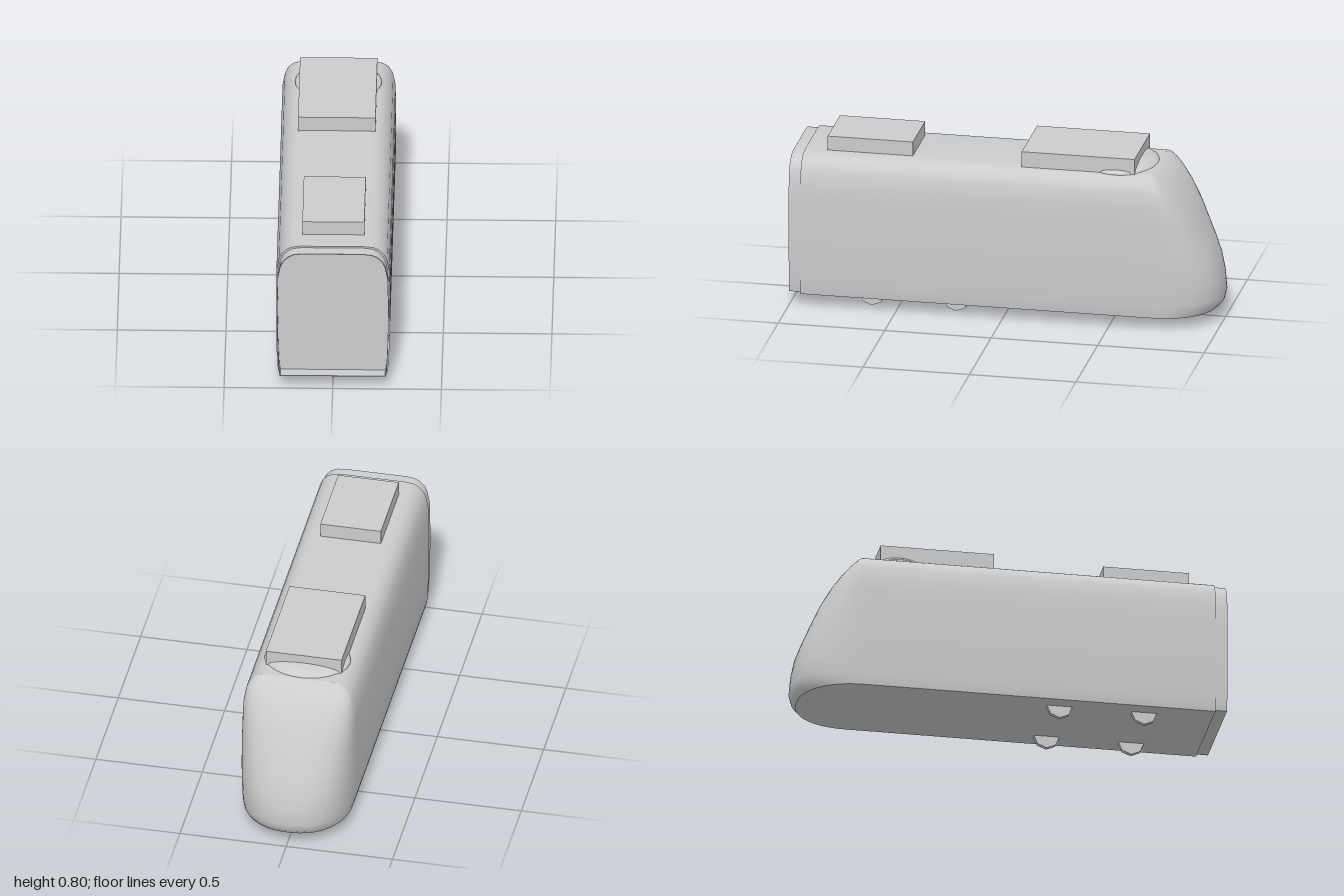
import * as THREE from 'three';
import { toCreasedNormals } from 'three/addons/utils/BufferGeometryUtils.js';

const NOSE_Z = -0.69, BODY_END = 0.945;

// Height, half width of the car, and how far the nose reaches past the body
const LEVELS = [
  [0.058, 0.25, 0.28], [0.08, 0.254, 0.3], [0.12, 0.257, 0.31], [0.2, 0.26, 0.302],
  [0.28, 0.262, 0.285], [0.36, 0.263, 0.255], [0.44, 0.263, 0.22], [0.52, 0.262, 0.185],
  [0.6, 0.26, 0.14], [0.66, 0.249, 0.095], [0.69, 0.236, 0.066], [0.715, 0.212, 0.036],
  [0.727, 0.188, 0.014], [0.732, 0.15, 0],
];

// Closed outline of the car section, inset by dx and dy
function outline(dx = 0, dy = 0) {
  const mid = 0.395, half = 0.337;
  const right = LEVELS.map(([y, w]) =>
    new THREE.Vector2(w - dx, mid + (y - mid) * (half - dy) / half));
  const left = right.map(p => new THREE.Vector2(-p.x, p.y)).reverse();
  return [...right, ...left];
}

function extrude(shape, depth, z) {
  const geo = new THREE.ExtrudeGeometry(shape, { depth, bevelEnabled: false });
  geo.translate(0, 0, z);
  return toCreasedNormals(geo, 0.7);
}

// Nose: stacked half superellipses, boxier towards the top, with a flat floor
function noseGeometry() {
  const steps = 32, pos = [], index = [];
  LEVELS.forEach(([y, w, d], i) => {
    const e = 2 / (2.2 + 0.8 * i / (LEVELS.length - 1));
    for (let j = 0; j <= steps; j++) {
      const a = Math.PI * j / steps, c = Math.cos(a), s = Math.max(0, Math.sin(a));
      pos.push(w * Math.sign(c) * Math.abs(c) ** e, y, NOSE_Z - d * s ** e);
    }
  });
  const row = steps + 1;
  for (let i = 0; i < LEVELS.length - 1; i++) {
    for (let j = 0; j < steps; j++) {
      const a = i * row + j, b = a + 1, c = a + row, d = c + 1;
      index.push(a, b, c, b, d, c);
    }
  }
  const centre = pos.length / 3;
  pos.push(0, LEVELS[0][0], NOSE_Z);
  for (let j = 0; j < steps; j++) index.push(centre, j + 1, j);
  const geo = new THREE.BufferGeometry();
  geo.setAttribute('position', new THREE.Float32BufferAttribute(pos, 3));
  geo.setIndex(index);
  return toCreasedNormals(geo, 0.7);
}

export function createModel() {
  const group = new THREE.Group();
  const grey = new THREE.MeshStandardMaterial({ color: 0xcccccc });
  grey.name = 'lightGrey';

  const add = (name, geo, x = 0, y = 0, z = 0) => {
    const mesh = new THREE.Mesh(geo, grey);
    mesh.name = name;
    mesh.position.set(x, y, z);
    group.add(mesh);
    return mesh;
  };

  // Main shell and nose
  add('body', extrude(new THREE.Shape(outline()), BODY_END - NOSE_Z, NOSE_Z));
  add('nose', noseGeometry());

  // Open gangway rim around the recessed end wall
  const rim = new THREE.Shape(outline(0.006, 0.008));
  rim.holes.push(new THREE.Path(outline(0.009, 0.011)));
  add('gangwayRim', extrude(rim, 1 - BODY_END, BODY_END));

  // Roof equipment boxes and the low fairing under the one by the nose
  add('frontRoofBox', new THREE.BoxGeometry(0.285, 0.075, 0.4), 0, 0.7625, 0.64);
  add('rearRoofBox', new THREE.BoxGeometry(0.356, 0.075, 0.53), 0, 0.7655, -0.343);
  const fairing = add('roofFairing',
    new THREE.SphereGeometry(1, 32, 12, 0, Math.PI * 2, 0, Math.PI / 2), 0, 0.728, -0.52);
  fairing.scale.set(0.2, 0.04, 0.165);

  // Eight-sided wheels half sunk into the floor
  const wheel = new THREE.CylinderGeometry(0.06, 0.06, 0.022, 8);
  wheel.rotateZ(Math.PI / 2);
  for (const z of [0.625, 0.23]) {
    for (const side of [-1, 1]) add('wheel', wheel, side * 0.167, 0.06, z);
  }
  return group;
}
